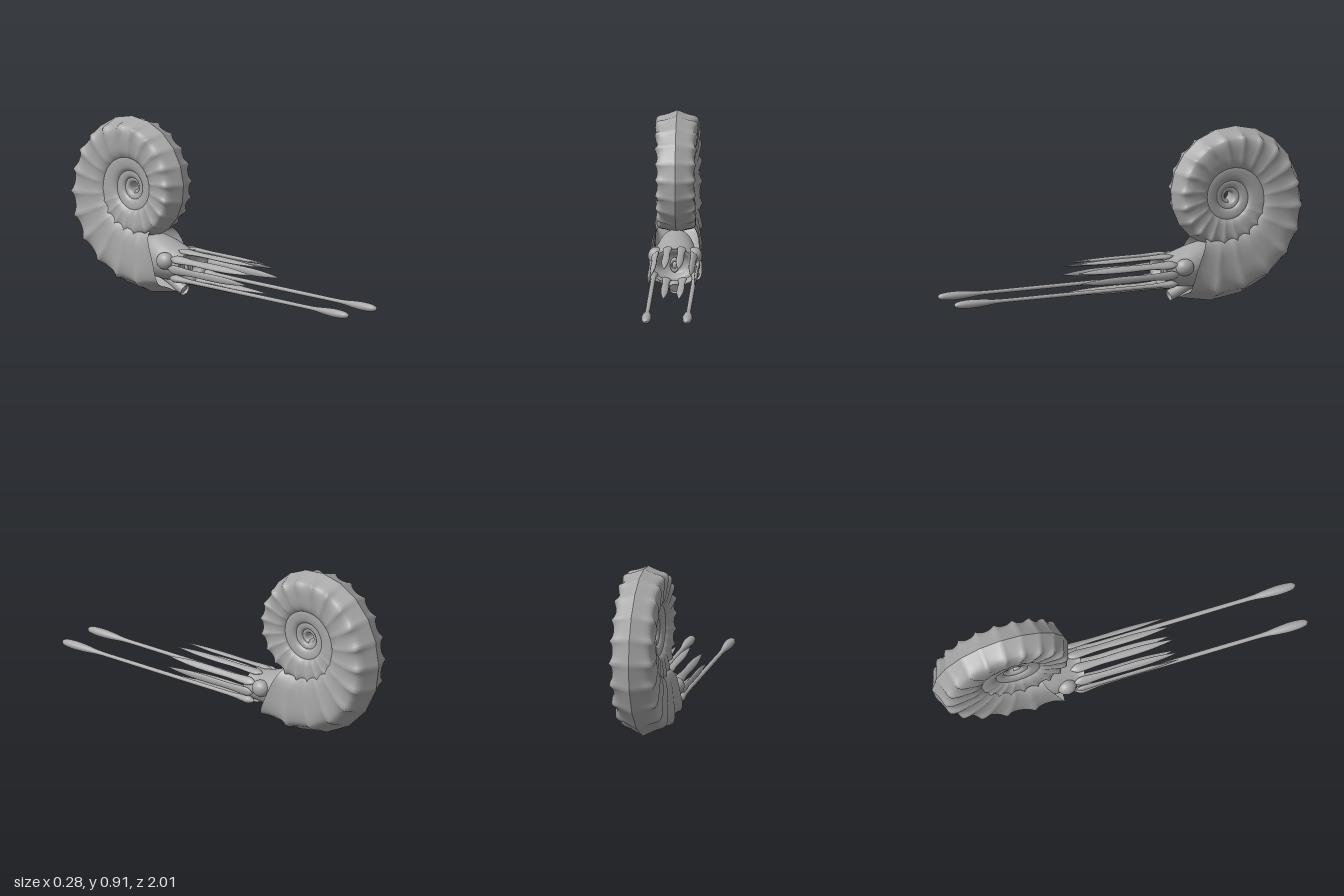
import * as THREE from 'three';

const grey = new THREE.MeshStandardMaterial({ color: 0xa6a6a6, side: THREE.DoubleSide });
grey.name = 'stone grey';

const V = (x, y, z = 0) => new THREE.Vector3(x, y, z);

function part(name, geometry, parent) {
  const mesh = new THREE.Mesh(geometry, grey);
  mesh.name = name;
  parent.add(mesh);
  return mesh;
}

// Surface from a grid of points; rows are joined in order
function gridGeometry(rows, flip = false) {
  const n = rows[0].length, pos = [], index = [];
  rows.forEach(row => row.forEach(p => pos.push(p.x, p.y, p.z)));
  for (let i = 0; i < rows.length - 1; i++) {
    for (let j = 0; j < n - 1; j++) {
      const a = i * n + j, b = a + n, c = a + 1, d = b + 1;
      if (flip) index.push(a, c, b, b, c, d);
      else index.push(a, b, c, b, d, c);
    }
  }
  const g = new THREE.BufferGeometry();
  g.setAttribute('position', new THREE.Float32BufferAttribute(pos, 3));
  g.setIndex(index);
  g.computeVertexNormals();
  return g;
}

// Half of the whorl section, keel to inner wall: x = width, y = height, z = rib strength
const section = new THREE.CatmullRomCurve3([
  V(0, 1, 0.5), V(0.5, 0.9, 0.55), V(0.9, 0.805, 1), V(1, 0.69, 0.8), V(1.02, 0.45, 0.3),
  V(0.95, 0.2, 0.35), V(0.75, 0.04, 0.2), V(0.4, 0, 0), V(0, 0.02, 0),
]).getPoints(20);

// One side of the coiled shell; angle 0 points down and grows toward the back
function shellHalf(side) {
  const START = -27, END = 1440, STEP = 2.25, RIB = 18, cy = 0.546, cz = -0.578;
  const rows = [];
  for (let a = START; a <= END; a += STEP) {
    const base = 0.305 * Math.exp(-0.001676 * (a - 270));
    const outer = base + 0.00062 * Math.max(0, 95 - a);
    const inner = 0.41 * base + 0.0012 * Math.max(0, 10 - a);
    const flare = THREE.MathUtils.smoothstep(-a, -10, 27);
    const width = 0.105 * Math.exp(-0.0007 * (a - 90)) + 0.008 * flare;
    const u = ((a - START) / RIB) % 1;
    const fade = 1 - THREE.MathUtils.smoothstep(a, 390, 450);
    const ridge = Math.pow(Math.abs(2 * u - 1), 2.5) * fade;
    rows.push(section.map(p => {
      const x = p.x * width * (1 + 0.17 * ridge * p.z);
      const r = inner + (outer - inner) * p.y + 0.03 * base * ridge * p.z;
      const t = THREE.MathUtils.degToRad(a - 8 * (1 - p.y));
      return V(side * x, cy - r * Math.cos(t), cz - r * Math.sin(t));
    }));
  }
  return gridGeometry(rows, side < 0);
}

// Skin over elliptical rings [z, centreY, radiusX, radiusY]
function ringLoft(rings) {
  const path = new THREE.CatmullRomCurve3(rings.map(r => V(r[0], r[1], 0)));
  const size = new THREE.CatmullRomCurve3(rings.map(r => V(r[2], r[3], 0)));
  const rows = [], N = 40, M = (rings.length - 1) * 5;
  for (let i = 0; i <= M; i++) {
    const c = path.getPoint(i / M), s = size.getPoint(i / M), row = [];
    for (let j = 0; j <= N; j++) {
      const t = (j / N) * Math.PI * 2;
      row.push(V(s.x * Math.cos(t), c.y + s.y * Math.sin(t), c.x));
    }
    rows.push(row);
  }
  return gridGeometry(rows, true);
}

// Flattened spindle along +z from [radius, z] points, turned about its own axis
function spindle(points, flatness, turn) {
  const curve = new THREE.SplineCurve(points.map(p => new THREE.Vector2(p[0], p[1])));
  const pts = curve.getPoints(30).map(p => p.set(Math.max(0, p.x), p.y));
  const g = new THREE.LatheGeometry(pts, 16);
  g.rotateX(Math.PI / 2);
  g.scale(1, flatness, 1);
  g.rotateZ(turn);
  return g;
}

export function createModel() {
  const model = new THREE.Group();
  model.name = 'ammonite';

  // Coiled ribbed shell, creased along the keel
  const shell = new THREE.Group();
  shell.name = 'shell';
  model.add(shell);
  part('shellLeft', shellHalf(1), shell);
  part('shellRight', shellHalf(-1), shell);

  // Head: neck inside the shell, crown, then the hollow front
  const head = new THREE.Group();
  head.name = 'head';
  model.add(head);
  part('headBody', ringLoft([
    [-0.52, 0.2, 0.07, 0.09], [-0.45, 0.2, 0.095, 0.115], [-0.37, 0.19, 0.108, 0.108],
    [-0.3, 0.182, 0.108, 0.092], [-0.24, 0.178, 0.104, 0.08], [-0.2, 0.178, 0.116, 0.085],
    [-0.205, 0.178, 0.095, 0.068], [-0.24, 0.175, 0.055, 0.045], [-0.25, 0.172, 0, 0],
  ]), head);

  // Mouth rim and beak
  const rim = part('mouthRim', new THREE.TorusGeometry(0.02, 0.008, 10, 28), head);
  rim.scale.set(0.85, 1.45, 1.6);
  rim.position.set(0, 0.172, -0.232);
  const beak = part('beak', new THREE.SphereGeometry(0.016, 16, 12), head);
  beak.scale.set(0.9, 1.4, 1);
  beak.position.set(0, 0.168, -0.235);

  // Funnel under the head, an open tube
  const funnelPath = new THREE.CatmullRomCurve3([
    V(0, 0.11, -0.42), V(0, 0.083, -0.35), V(0, 0.058, -0.3), V(0, 0.04, -0.257),
  ]);
  part('funnel', new THREE.TubeGeometry(funnelPath, 16, 0.029, 20), head);
  const funnelInside = part('funnelInside', new THREE.CircleGeometry(0.028, 20), head);
  funnelInside.position.set(0, 0.046, -0.272);
  funnelInside.rotation.x = 0.4;

  const armProfile = [[0, -0.27], [0.022, -0.235], [0.023, -0.19], [0.018, -0.1],
    [0.02, 0.03], [0.018, 0.14], [0.009, 0.24], [0, 0.3]];
  const longProfile = [[0, -0.27], [0.022, -0.235], [0.02, -0.19], [0.013, -0.1], [0.0125, 0.2],
    [0.0125, 0.5], [0.0125, 0.74], [0.021, 0.83], [0.026, 0.91], [0.019, 0.98], [0, 1]];
  // Short arms on one side: x, y, turn
  const arms = [[0.037, 0.257, -0.2], [0.1, 0.225, -0.75], [0.121, 0.174, 1.5], [0.041, 0.1, 0.2]];

  for (const side of [1, -1]) {
    const name = side > 0 ? 'Left' : 'Right';
    const eye = part('eye' + name, new THREE.SphereGeometry(0.045, 24, 16), head);
    eye.scale.set(0.9, 1, 1.1);
    eye.position.set(side * 0.1, 0.205, -0.305);

    for (const [x, y, turn] of arms) {
      const arm = part('arm' + name, spindle(armProfile, 0.5, side * turn), model);
      arm.position.set(side * x, y, 0);
    }
    const long = part('longTentacle' + name, spindle(longProfile, 0.85, 0), model);
    long.position.set(side * 0.106, 0.124, 0);
  }
  return model;
}
